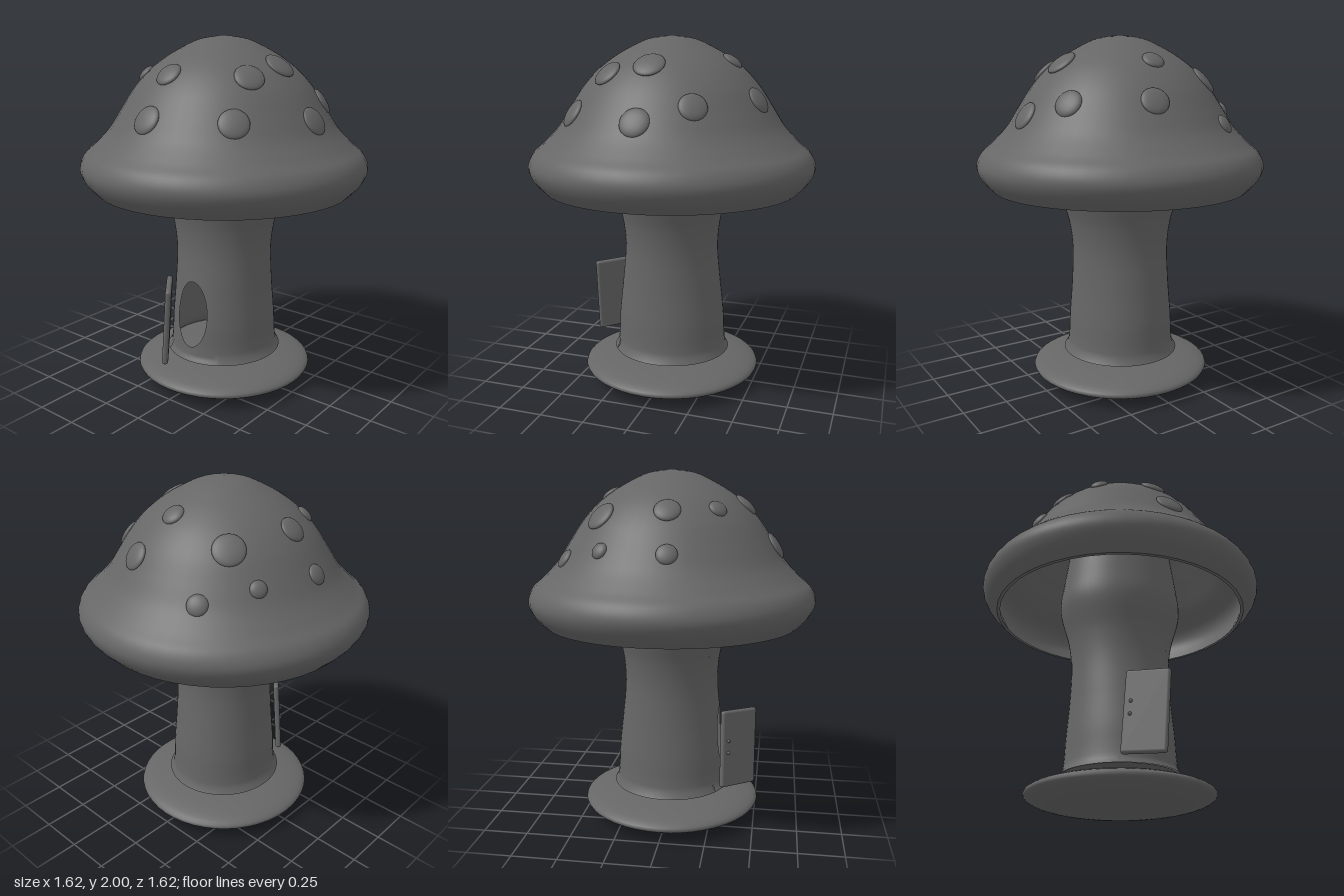
import * as THREE from 'three';
import { ParametricGeometry } from 'three/addons/geometries/ParametricGeometry.js';
import { RoundedBoxGeometry } from 'three/addons/geometries/RoundedBoxGeometry.js';

const v2 = (pts) => pts.map(([x, y]) => new THREE.Vector2(x, y));

// piecewise smooth lookup of a [key, value] list
function lookup(table, k) {
  let i = 0;
  while (i < table.length - 2 && k > table[i + 1][0]) i++;
  const at = (j) => table[Math.min(Math.max(j, 0), table.length - 1)];
  const slope = (j) => (at(j + 1)[1] - at(j - 1)[1]) / (at(j + 1)[0] - at(j - 1)[0]);
  const [k0, a] = at(i), [k1, b] = at(i + 1), h = k1 - k0;
  const t = (k - k0) / h, t2 = t * t, t3 = t2 * t;
  return (2 * t3 - 3 * t2 + 1) * a + (t3 - 2 * t2 + t) * h * slope(i)
    + (3 * t2 - 2 * t3) * b + (t3 - t2) * h * slope(i + 1);
}

// stalk radius by height, sideways and front to back
const stalkX = [[0.18, 0.332], [0.215, 0.308], [0.4, 0.295], [0.6, 0.282], [0.8, 0.28], [0.95, 0.3], [1.15, 0.357], [1.3, 0.345], [1.6, 0.3]];
const stalkZ = [[0.18, 0.34], [0.215, 0.322], [0.4, 0.31], [0.6, 0.288], [0.8, 0.27], [0.95, 0.28], [1.15, 0.322], [1.3, 0.315], [1.6, 0.28]];
const stalkPoint = (angle, y, target) =>
  target.set(Math.sin(angle) * lookup(stalkX, y), y, Math.cos(angle) * lookup(stalkZ, y));

// cap height by radius on its upper side, used to seat the spots
const capTop = [[0, 2], [0.13, 1.98], [0.25, 1.925], [0.34, 1.87], [0.42, 1.805], [0.5, 1.715], [0.575, 1.6], [0.64, 1.5], [0.72, 1.415]];

export function createModel() {
  const group = new THREE.Group();
  const grey = new THREE.MeshStandardMaterial({ color: 0x666666, side: THREE.DoubleSide });
  grey.name = 'dark grey';
  const add = (name, geometry, parent = group) => {
    const mesh = new THREE.Mesh(geometry, grey);
    mesh.name = name;
    parent.add(mesh);
    return mesh;
  };

  // flattened ground disc
  const base = add('base', new THREE.SphereGeometry(0.515, 48, 24));
  base.scale.y = 0.082 / 0.515;
  base.position.y = 0.084;

  // hollow stalk, with a front panel that leaves an oval doorway
  const stalk = new THREE.Group();
  stalk.name = 'stalk';
  group.add(stalk);
  const half = 0.6, low = 0.18, high = 0.76;
  const wall = (a0, a1, y0, y1) => (u, v, p) => stalkPoint(a0 + (a1 - a0) * u, y0 + (y1 - y0) * v, p);
  add('stalkWall', new ParametricGeometry(wall(half, 2 * Math.PI - half, low, 1.6), 44, 48), stalk);
  add('stalkFrontUpper', new ParametricGeometry(wall(-half, half, high, 1.6), 12, 28), stalk);
  add('doorwayPanel', new ParametricGeometry((u, v, p) => {
    const a = -2 * Math.PI * u, c = Math.cos(a), s = Math.sin(a);
    const k = 1 / Math.max(Math.abs(c), Math.abs(s));
    const edgeY = (high + low) / 2 + s * k * (high - low) / 2;
    const angle = THREE.MathUtils.lerp(0.36 * c, half * c * k, v);
    stalkPoint(angle, THREE.MathUtils.lerp(0.452 + 0.193 * s, edgeY, v), p);
  }, 64, 10), stalk);
  const floor = add('stalkFloor', new THREE.CircleGeometry(0.325, 48), stalk);
  floor.rotation.x = -Math.PI / 2;
  floor.position.y = 0.183;

  // door standing ajar, leaning a little
  const door = new THREE.Group();
  door.name = 'door';
  door.position.set(-0.095, 0.43, 0.4);
  door.rotation.set(0, -0.87, -0.085, 'ZYX');
  group.add(door);
  add('doorPanel', new RoundedBoxGeometry(0.24, 0.45, 0.034, 3, 0.015), door);
  for (const y of [-0.02, 0.05]) {
    add('doorStud', new THREE.SphereGeometry(0.01, 10, 8), door).position.set(-0.08, y, 0.018);
  }

  // cap: domed outside, hollow underside
  const cap = new THREE.Group();
  cap.name = 'cap';
  group.add(cap);
  const outer = new THREE.SplineCurve(v2([[0.722, 1.147], [0.785, 1.215], [0.811, 1.285], [0.785, 1.355],
    ...capTop.slice().reverse()]));
  const outerPoints = outer.getPoints(60);
  outerPoints[60].x = 0;
  add('capOuter', new THREE.LatheGeometry(outerPoints, 48), cap);
  const inner = new THREE.SplineCurve(v2([[0, 1.94], [0.2, 1.89], [0.38, 1.76], [0.53, 1.56], [0.63, 1.42],
    [0.72, 1.32], [0.738, 1.24], [0.703, 1.147]]));
  add('capInner', new THREE.LatheGeometry(inner.getPoints(32), 48), cap);
  add('capRim', new THREE.LatheGeometry(v2([[0.703, 1.147], [0.722, 1.147]]), 48), cap);

  // raised round spots: x, z, radius
  const spots = [
    [-0.5, -0.295, 0.045], [-0.335, -0.325, 0.085], [0.02, -0.35, 0.06], [0.125, -0.52, 0.075],
    [-0.32, -0.53, 0.055], [0.475, -0.265, 0.075], [0.37, 0, 0.085], [0.59, 0, 0.08],
    [0.35, 0.24, 0.08], [0.395, 0.425, 0.08], [-0.035, 0.415, 0.072], [-0.04, 0.58, 0.08],
    [-0.32, 0.285, 0.05], [-0.43, 0.04, 0.07], [-0.58, 0.06, 0.055],
  ];
  for (const [x, z, size] of spots) {
    const r = Math.hypot(x, z);
    const slope = (lookup(capTop, r + 0.02) - lookup(capTop, r - 0.02)) / 0.04;
    const normal = new THREE.Vector3(-slope * x / r, 1, -slope * z / r).normalize();
    const spot = add('spot', new THREE.SphereGeometry(1, 24, 14), cap);
    spot.scale.set(size, 0.022, size);
    spot.position.set(x, lookup(capTop, r), z);
    spot.quaternion.setFromUnitVectors(new THREE.Vector3(0, 1, 0), normal);
  }
  return group;
}
